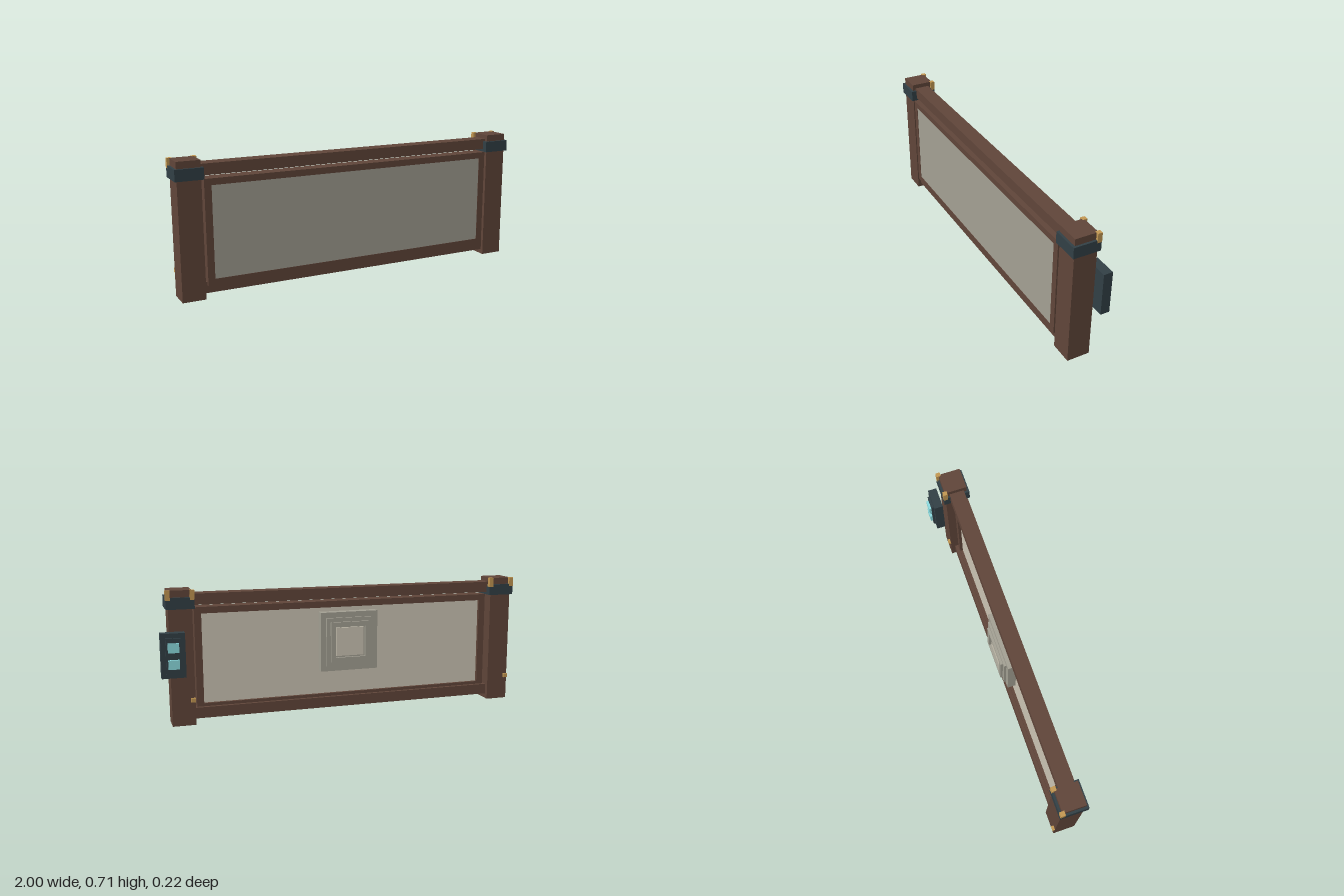
import * as THREE from 'three';

const mat = (name, color) => {
  const m = new THREE.MeshStandardMaterial({ color });
  m.name = name;
  return m;
};

export function createModel() {
  const root = new THREE.Group();
  root.name = 'framedPanel';
  const wood = mat('brown wood', 0x62473b);
  const iron = mat('dark slate metal', 0x334147);
  const stone = mat('warm grey', 0xa6a396);
  const cream = mat('pale cream', 0xd0c9b8);
  const brass = mat('brass', 0xc69a54);
  const glow = mat('pale cyan', 0x8fe0e4);

  // Box given by its limits on each axis
  const box = (name, m, [x0, x1], [y0, y1], [z0, z1], parent = root) => {
    const mesh = new THREE.Mesh(new THREE.BoxGeometry(x1 - x0, y1 - y0, z1 - z0), m);
    mesh.position.set((x0 + x1) / 2, (y0 + y1) / 2, (z0 + z1) / 2);
    mesh.name = name;
    parent.add(mesh);
    return mesh;
  };

  // Rectangular ring with a hole, extruded along z
  const ring = (name, m, [x0, x1], [y0, y1], bx, by, [z0, z1], parent = root) => {
    const rect = (P, a, b, c, d) => new P([[a, c], [b, c], [b, d], [a, d]].map(p => new THREE.Vector2(...p)));
    const shape = rect(THREE.Shape, x0, x1, y0, y1);
    shape.holes.push(rect(THREE.Path, x0 + bx, x1 - bx, y0 + by, y1 - by));
    const mesh = new THREE.Mesh(new THREE.ExtrudeGeometry(shape, { depth: z1 - z0, bevelEnabled: false }), m);
    mesh.position.z = z0;
    mesh.name = name;
    parent.add(mesh);
  };

  // Posts with metal collars, brass corner pegs and a low stud
  for (const [side, cx] of [['right', -0.926], ['left', 0.889]]) {
    const post = new THREE.Group();
    post.name = side + 'Post';
    post.position.x = cx;
    root.add(post);
    box('postBeam', wood, [-0.061, 0.061], [0, 0.711], [-0.024, 0.098], post);
    box('postCollar', iron, [-0.073, 0.073], [0.615, 0.675], [-0.036, 0.11], post);
    for (const s of [-1, 1]) {
      const peg = box('cornerPeg', brass, [-0.012, 0.012], [0.662, 0.712], [-0.037, -0.013], post);
      peg.position.x = s * 0.062;
    }
    box('postStud', brass, [-0.061, -0.037], [0.125, 0.147], [-0.037, -0.023], post);
  }

  // Rails between the posts
  box('topRail', wood, [-0.87, 0.83], [0.63, 0.688], [0, 0.081]);
  box('bottomRail', wood, [-0.87, 0.83], [0.027, 0.085], [0, 0.081]);

  // Picture frame, its front panel and the paler back panel
  ring('panelFrame', wood, [-0.852, 0.815], [0.067, 0.615], 0.037, 0.034, [0.018, 0.097]);
  box('frontPanel', stone, [-0.817, 0.78], [0.1, 0.583], [0.06, 0.095]);
  box('backPanel', cream, [-0.817, 0.78], [0.1, 0.583], [0.034, 0.06]);

  // Stepped square plaque on the back
  const plaque = new THREE.Group();
  plaque.name = 'backPlaque';
  plaque.position.set(-0.019, 0.395, 0);
  root.add(plaque);
  const sq = h => [-h, h];
  box('plaqueBase', stone, sq(0.162), sq(0.162), [-0.012, 0.036], plaque);
  ring('plaqueStep', stone, sq(0.132), sq(0.132), 0.04, 0.04, [-0.0235, -0.011], plaque);
  ring('plaqueRim', stone, sq(0.11), sq(0.11), 0.025, 0.025, [-0.036, -0.023], plaque);
  box('plaqueCentre', cream, sq(0.078), sq(0.078), [-0.024, -0.011], plaque);

  // Control box behind the left post, with two lit buttons
  const control = new THREE.Group();
  control.name = 'controlBox';
  root.add(control);
  box('controlCase', iron, [0.876, 1], [0.272, 0.503], [-0.085, -0.036], control);
  box('controlFace', iron, [0.9, 0.976], [0.296, 0.479], [-0.097, -0.084], control);
  for (const y of [0.346, 0.431])
    box('controlButton', glow, [0.91, 0.966], [y - 0.024, y + 0.024], [-0.11, -0.096], control);

  return root;
}
